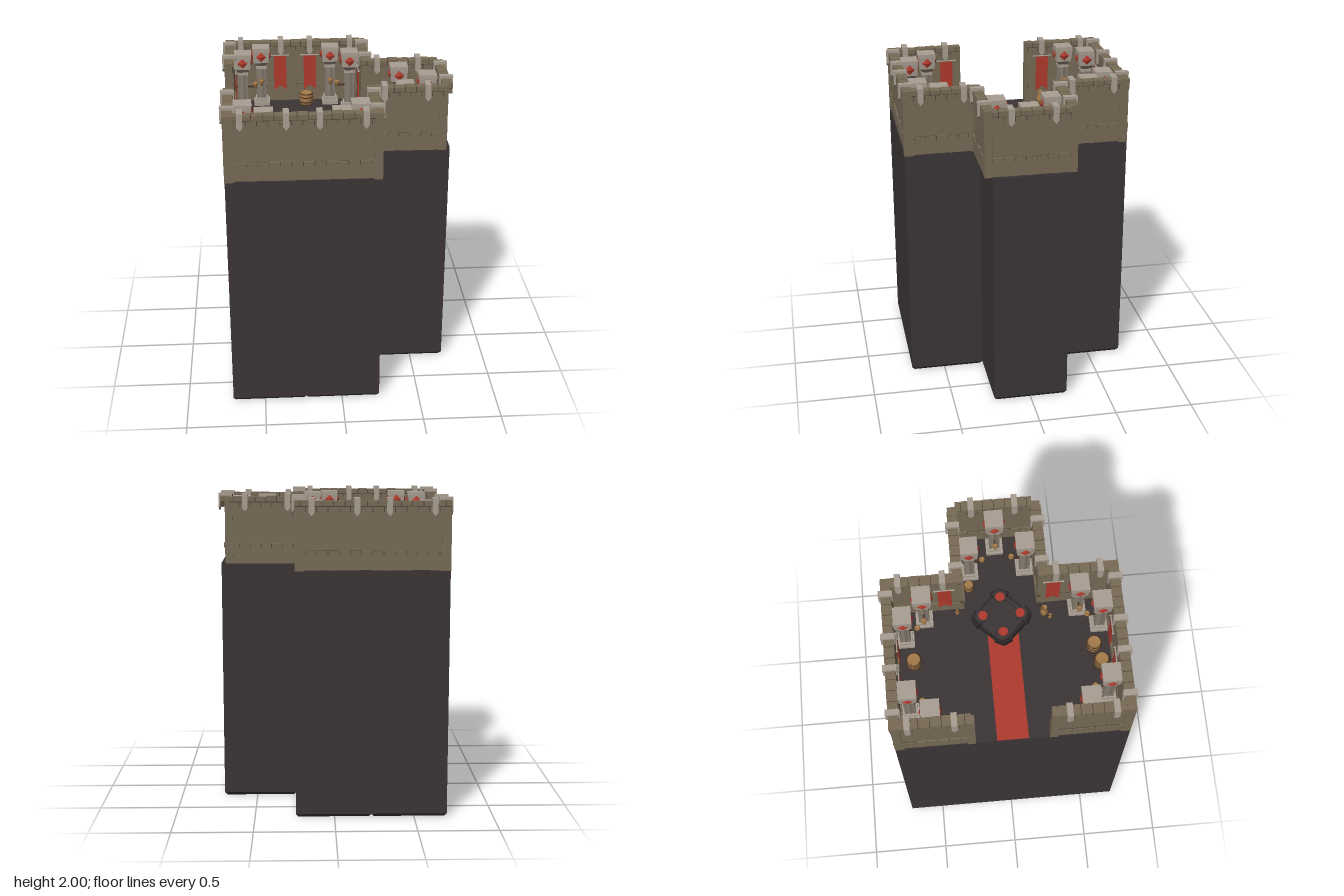
import * as THREE from 'three';
import { mergeGeometries } from 'three/addons/utils/BufferGeometryUtils.js';

const mat = (name, color, side = THREE.FrontSide) => {
  const m = new THREE.MeshStandardMaterial({ color, side });
  m.name = name;
  return m;
};

export function createModel() {
  const M = {
    rock: mat('dark rock', 0x3c3536),
    slab: mat('black stone', 0x2a2627),
    wall: mat('tan stone', 0x786b57),
    mortar: mat('dark mortar', 0x51483b),
    trim: mat('pale stone', 0xa99e92),
    shaft: mat('grey stone', 0x857b6e),
    red: mat('red cloth', 0xb03a2d, THREE.DoubleSide),
    wood: mat('wood', 0xa47a4a),
    bark: mat('dark wood', 0x4b3524),
  };
  const root = new THREE.Group();
  let seed = 7;
  const rnd = () => (seed = (seed * 16807) % 2147483647) / 2147483647;
  const FLOOR = 1.56;

  const add = (parent, name, geo, material, x = 0, y = 0, z = 0) => {
    const m = new THREE.Mesh(geo, material);
    m.name = name;
    m.position.set(x, y, z);
    parent.add(m);
    return m;
  };
  const group = (name, x, y, z, turn = 0) => {
    const g = new THREE.Group();
    g.name = name;
    g.position.set(x, y, z);
    g.rotation.y = turn;
    root.add(g);
    return g;
  };
  const box = (w, h, d, x = 0, y = 0, z = 0) => new THREE.BoxGeometry(w, h, d).translate(x, y, z);
  const flat = (geo) => {
    const g = geo.toNonIndexed();
    g.computeVertexNormals();
    return g;
  };
  const lathe = (pts, n = 14) => new THREE.LatheGeometry(pts.map(p => new THREE.Vector2(...p)), n);

  // Rock cells, each chamfered at its foot
  const cell = (x, z) => {
    add(root, 'rockCell', box(0.475, 1.535, 0.48), M.rock, x, 0.7875, z);
    const foot = new THREE.CylinderGeometry(0.475 / Math.SQRT2, 0.445 / Math.SQRT2, 0.02, 4, 1).rotateY(Math.PI / 4);
    add(root, 'rockFoot', flat(foot), M.rock, x, 0.01, z);
  };
  for (const z of [-0.48, 0, 0.48]) for (const x of [-0.47, 0.005]) cell(x, z);
  cell(0.48, 0);

  // Floor tiles in running bond
  const tiles = [];
  const pave = (x0, x1, z0, z1) => {
    const rows = Math.round((z1 - z0) / 0.06), dz = (z1 - z0) / rows;
    for (let r = 0; r < rows; r++) {
      for (let x = x0 - (r % 2) * 0.06; x < x1 - 0.005; x += 0.12) {
        const a = Math.max(x, x0), b = Math.min(x + 0.12, x1);
        const h = 0.005 + rnd() * 0.002;
        tiles.push(box(b - a - 0.003, h, dz - 0.003, (a + b) / 2, 1.555 + h / 2, z0 + (r + 0.5) * dz));
      }
    }
  };
  pave(-0.707, 0.24, -0.72, 0.72);
  pave(0.24, 0.715, -0.24, 0.24);
  add(root, 'floorTiles', mergeGeometries(tiles), M.rock);
  add(root, 'carpet', box(0.71, 0.006, 0.195), M.red, -0.35, 1.564, 0);

  // Pale saddle stone over the parapet, with pointed ends
  const tongue = new THREE.Shape([[-0.018, 0.07], [-0.018, 0], [0, -0.022], [0.018, 0], [0.018, 0.07]]
    .map(p => new THREE.Vector2(...p)));
  const tongueGeo = new THREE.ExtrudeGeometry(tongue, { depth: 0.013, bevelEnabled: false });
  const saddleGeo = mergeGeometries([
    box(0.036, 0.018, 0.086, 0, 0.079, -0.029).toNonIndexed(),
    tongueGeo.clone().translate(0, 0, 0.001),
    tongueGeo.clone().translate(0, 0, -0.072),
  ]);

  // Wall run: local +z faces outward, local x runs along it
  const bricks = (len, step, shift, h, d, y, z, jitter) => {
    const out = [];
    for (let u = -len / 2 - shift; u < len / 2 - 0.004; u += step) {
      const a = Math.max(u, -len / 2), b = Math.min(u + step, len / 2);
      const hh = h - rnd() * jitter, dd = d + rnd() * 0.004;
      if (b - a > 0.008) out.push(box(b - a - 0.005, hh, dd, (a + b) / 2, y + hh / 2, z));
    }
    return mergeGeometries(out);
  };
  const wall = (side, from, to, outer, clips, recess = 0.01) => {
    const mid = (from + to) / 2, len = to - from;
    const alongX = side === 'front' || side === 'back';
    const turn = { front: 0, right: Math.PI / 2, back: Math.PI, left: -Math.PI / 2 }[side];
    const sign = side === 'front' || side === 'left' ? 1 : -1;
    const g = group(side + 'Wall', alongX ? mid : outer, 0, alongX ? outer : mid, turn);
    const t = 0.058 - recess;
    add(g, 'wallPanel', box(len - 0.008, 0.37, t), M.wall, 0, 1.74, -recess - t / 2);
    add(g, 'wallPlinth', box(len - 0.004, 0.1, t + 0.006), M.wall, 0, 1.605, -recess - t / 2);
    add(g, 'bandBed', box(len - 0.004, 0.026, t + 0.01), M.mortar, 0, 1.668, -recess - t / 2);
    add(g, 'bandStones', bricks(len, 0.068, 0, 0.03, t + 0.018, 1.653, -recess - t / 2, 0.004), M.wall);
    add(g, 'parapetBed', box(len - 0.006, 0.062, 0.056), M.mortar, 0, 1.947, -0.03);
    add(g, 'lowerCourse', bricks(len, 0.068, 0, 0.031, 0.06, 1.916, -0.03, 0.002), M.wall);
    add(g, 'upperCourse', bricks(len, 0.068, 0.034, 0.034, 0.061, 1.951, -0.03, 0.007), M.wall);
    for (const c of clips) add(g, 'saddleStone', saddleGeo, M.trim, (c - mid) * sign, 1.912, 0.002);
  };
  const longClips = [-0.607, -0.333, -0.135, 0.14];
  wall('front', -0.71, 0.245, 0.72, longClips);
  wall('back', -0.71, 0.245, -0.725, longClips);
  wall('left', -0.725, -0.245, -0.71, [-0.62, -0.345]);
  wall('left', 0.225, 0.72, -0.71, [0.33, 0.605]);
  wall('right', -0.725, -0.25, 0.245, [-0.62, -0.35]);
  wall('right', 0.25, 0.72, 0.245, [0.34, 0.61]);
  wall('back', 0.18, 0.665, -0.29, [0.29, 0.56]);
  wall('front', 0.18, 0.665, 0.29, [0.29, 0.56]);
  wall('right', -0.24, 0.24, 0.72, [-0.14, 0.13], 0.03);

  // Corner posts
  for (const s of [-1, 1]) {
    for (const [x, z] of [[-0.685, 0.695], [0.219, 0.695], [0.219, 0.264], [0.664, 0.262], [-0.685, 0.252]])
      add(root, 'cornerPost', box(0.05, 0.425, 0.05), M.wall, x, 1.7675, s * z);
  }

  // Square-headed columns with red gems and a wall lamp; the lamp is on local +z
  const gem = flat(new THREE.OctahedronGeometry(0.034).scale(1, 1, 0.35));
  const headGeo = flat(new THREE.CylinderGeometry(0.115 / Math.SQRT2, 0.1 / Math.SQRT2, 0.08, 4).rotateY(Math.PI / 4));
  const neckGeo = flat(new THREE.CylinderGeometry(0.098 / Math.SQRT2, 0.06 / Math.SQRT2, 0.03, 4).rotateY(Math.PI / 4));
  const shaftGeo = flat(new THREE.CylinderGeometry(0.03, 0.034, 0.26, 8));
  const cupGeo = lathe([[0, -0.025], [0.008, -0.022], [0.01, -0.005], [0.018, 0.005], [0.018, 0.02], [0.012, 0.02], [0, 0.014]], 8);
  const column = (x, z, turn) => {
    const g = group('column', x, FLOOR, z, turn);
    add(g, 'columnFoot', box(0.108, 0.028, 0.108), M.trim, 0, 0.014, 0);
    add(g, 'columnStep', box(0.086, 0.024, 0.086), M.trim, 0, 0.04, 0);
    add(g, 'columnShaft', shaftGeo, M.shaft, 0, 0.175, 0);
    for (const a of [-1, 1]) for (const b of [-1, 1])
      add(g, 'cornerRib', box(0.014, 0.235, 0.014), M.shaft, a * 0.026, 0.17, b * 0.026);
    add(g, 'columnCollar', box(0.072, 0.018, 0.072), M.trim, 0, 0.272, 0);
    add(g, 'columnNeck', neckGeo, M.shaft, 0, 0.296, 0);
    add(g, 'columnHead', headGeo, M.trim, 0, 0.348, 0);
    add(g, 'columnTop', box(0.115, 0.024, 0.115), M.trim, 0, 0.4, 0);
    for (let i = 0; i < 4; i++) {
      const a = i * Math.PI / 2;
      add(g, 'redGem', gem, M.red, Math.sin(a) * 0.057, 0.352, Math.cos(a) * 0.057).rotation.y = a;
    }
    add(g, 'lampArm', box(0.01, 0.01, 0.055), M.bark, 0, 0.17, 0.055);
    add(g, 'lampCup', cupGeo, M.wood, 0, 0.18, 0.083);
  };
  const H = Math.PI / 2;
  for (const [x, z, t] of [
    [-0.47, -0.61, 0], [0, -0.61, 0], [-0.595, -0.48, H], [0.125, -0.485, -H],
    [-0.465, 0.603, 2 * H], [0.005, 0.603, 2 * H], [-0.595, 0.47, H], [0.125, 0.478, -H],
    [0.425, -0.177, 0], [0.43, 0.173, 2 * H], [0.592, -0.005, -H],
  ]) column(x, z, t);

  // Swallow-tailed banners hung on rods inside the walls
  const cloth = new THREE.Shape([[-0.042, 0], [-0.042, -0.25], [0, -0.215], [0.042, -0.25], [0.042, 0]]
    .map(p => new THREE.Vector2(...p)));
  const clothGeo = new THREE.ExtrudeGeometry(cloth, { depth: 0.006, bevelEnabled: false });
  const rodGeo = new THREE.CylinderGeometry(0.005, 0.005, 0.11, 6).rotateZ(H);
  const tipGeo = new THREE.OctahedronGeometry(0.01);
  const banner = (x, z, turn) => {
    const g = group('banner', x, 1.89, z, turn);
    add(g, 'bannerCloth', clothGeo, M.red);
    add(g, 'bannerRod', rodGeo, M.trim, 0, 0, 0.004);
    for (const s of [-1, 1]) add(g, 'rodTip', tipGeo, M.trim, s * 0.058, 0, 0.004);
  };
  for (const x of [-0.34, -0.135]) {
    banner(x, -0.657, 0);
    banner(x, 0.652, Math.PI);
  }
  for (const z of [-0.345, 0.327]) {
    banner(-0.643, z, H);
    banner(0.178, z, -H);
  }

  // Eight-sided dais with four pointed plinths and red pads
  const dais = group('dais', 0.095, FLOOR, 0);
  const oct = (r0, r1, h) => flat(new THREE.CylinderGeometry(r0, r1, h, 8).rotateY(Math.PI / 8));
  add(dais, 'daisStep', oct(0.15, 0.158, 0.03), M.slab, 0, 0.015, 0);
  add(dais, 'daisRim', oct(0.132, 0.14, 0.026), M.rock, 0, 0.04, 0);
  add(dais, 'daisTop', oct(0.1, 0.105, 0.008), M.rock, 0, 0.056, 0);
  const wedge = (w, r0, r1, r2, h) => new THREE.ExtrudeGeometry(new THREE.Shape(
    [[-w * 0.6, -r0], [w * 0.6, -r0], [w, -r1], [0, -r2], [-w, -r1]].map(p => new THREE.Vector2(...p))),
  { depth: h, bevelEnabled: false }).rotateX(-H);
  const lobeGeo = wedge(0.058, 0.09, 0.162, 0.19, 0.045);
  const lobeTopGeo = wedge(0.046, 0.09, 0.146, 0.17, 0.07);
  const padGeo = new THREE.CylinderGeometry(0.034, 0.034, 0.008, 12).scale(0.9, 1, 0.85);
  for (let i = 0; i < 4; i++) {
    const arm = new THREE.Group();
    arm.name = 'daisArm';
    arm.rotation.y = i * H;
    dais.add(arm);
    add(arm, 'armPlinth', lobeGeo, M.slab);
    add(arm, 'armBlock', lobeTopGeo, M.rock);
    add(arm, 'redPad', padGeo, M.red, 0, 0.073, 0.117);
  }

  // Barrels with dark hoops
  const barrel = (x, z, r, h) => {
    const g = group('barrel', x, FLOOR, z);
    add(g, 'staves', lathe([[0, 0], [r * 0.82, 0], [r * 0.95, h * 0.3], [r * 0.95, h * 0.7], [r * 0.84, h], [r * 0.76, h], [r * 0.76, h * 0.95], [0, h * 0.95]]), M.wood);
    for (const k of [0.06, 0.32, 0.68, 0.93]) {
      const rr = r * (k > 0.2 && k < 0.8 ? 0.95 : 0.87);
      add(g, 'hoop', new THREE.TorusGeometry(rr, r * 0.08, 5, 16).rotateX(H), M.bark, 0, h * k, 0);
    }
  };
  barrel(-0.165, -0.568, 0.049, 0.09);
  barrel(-0.26, 0.592, 0.049, 0.09);
  barrel(-0.147, 0.556, 0.049, 0.09);
  barrel(0.315, -0.19, 0.034, 0.07);

  // Jugs and small cups on the floor
  const jug = (x, z, s, turn) => {
    const g = group('jug', x, FLOOR, z, turn);
    g.scale.setScalar(s);
    add(g, 'jugBody', lathe([[0, 0], [0.018, 0], [0.025, 0.035], [0.024, 0.055], [0.014, 0.075], [0.021, 0.1], [0.015, 0.1], [0.01, 0.08], [0, 0.078]], 10), M.wood);
    add(g, 'jugHandle', new THREE.TorusGeometry(0.018, 0.004, 5, 10), M.bark, 0.022, 0.07, 0);
  };
  jug(-0.575, -0.322, 1, 0.6);
  jug(0.105, 0.27, 1, 0.8);
  jug(0.152, -0.275, 0.5, 0);
  jug(0.075, 0.305, 0.5, 2);

  return root;
}
